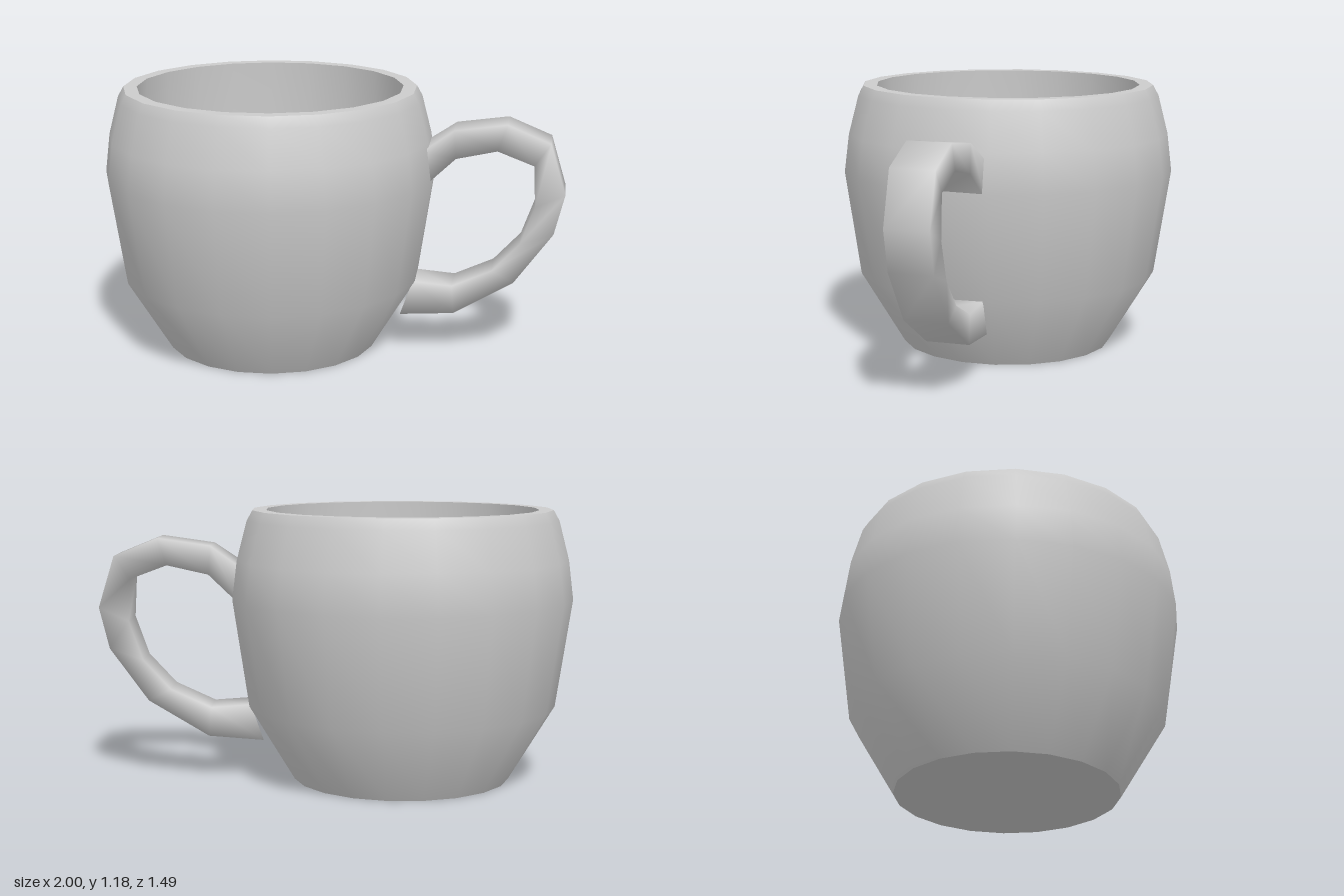
import * as THREE from 'three';

const SIDES = 20;
const V = (x, y) => new THREE.Vector2(x, y);

// Smooth tube of four-cornered sections; each row is [outer r, outer y, inner r, inner y, half width]
function sectionTube(rows) {
  const positions = [], index = [];
  for (const [or, oy, ir, iy, w] of rows) {
    positions.push(or, oy, w, or, oy, -w, ir, iy, -w, ir, iy, w);
  }
  for (let i = 0; i < rows.length - 1; i++) {
    for (let k = 0; k < 4; k++) {
      const a = i * 4 + k, b = i * 4 + (k + 1) % 4;
      index.push(a, a + 4, b, a + 4, b + 4, b);
    }
  }
  const geometry = new THREE.BufferGeometry();
  geometry.setAttribute('position', new THREE.Float32BufferAttribute(positions, 3));
  geometry.setIndex(index);
  geometry.computeVertexNormals();
  return geometry;
}

export function createModel() {
  const model = new THREE.Group();
  model.name = 'mug';
  const material = new THREE.MeshStandardMaterial({ color: 0xcccccc });

  const add = (name, geometry) => {
    const mesh = new THREE.Mesh(geometry, material);
    mesh.name = name;
    mesh.position.x = -0.255;
    model.add(mesh);
    return mesh;
  };

  // Cup surfaces, split at the sharp edges and smooth in between
  const profiles = {
    base: [V(0, 0), V(0.477, 0)],
    outerWall: [V(0.477, 0), V(0.675, 0.33), V(0.745, 0.8), V(0.724, 0.97), V(0.68, 1.14), V(0.655, 1.185)],
    rim: [V(0.655, 1.185), V(0.595, 1.185)],
    innerWall: [V(0.595, 1.185), V(0.612, 0.8), V(0.605, 0.35), V(0.465, 0.08)],
    floor: [V(0.465, 0.08), V(0, 0.08)],
  };
  for (const [name, points] of Object.entries(profiles)) {
    add(name, new THREE.LatheGeometry(points, SIDES, THREE.MathUtils.degToRad(-3)));
  }

  // Handle: a loop in a radial plane, flaring where it meets the cup
  const handle = add('handle', sectionTube([
    [0.70, 0.94, 0.70, 0.775, 0.117],
    [0.83, 1.03, 0.84, 0.905, 0.096],
    [1.06, 1.063, 1.02, 0.945, 0.094],
    [1.25, 0.985, 1.18, 0.885, 0.094],
    [1.319, 0.76, 1.19, 0.70, 0.094],
    [1.275, 0.58, 1.13, 0.53, 0.094],
    [1.108, 0.35, 1.01, 0.40, 0.094],
    [0.845, 0.193, 0.835, 0.32, 0.094],
    [0.605, 0.175, 0.66, 0.333, 0.094],
  ]));
  handle.rotation.y = THREE.MathUtils.degToRad(22.5);

  return model;
}
